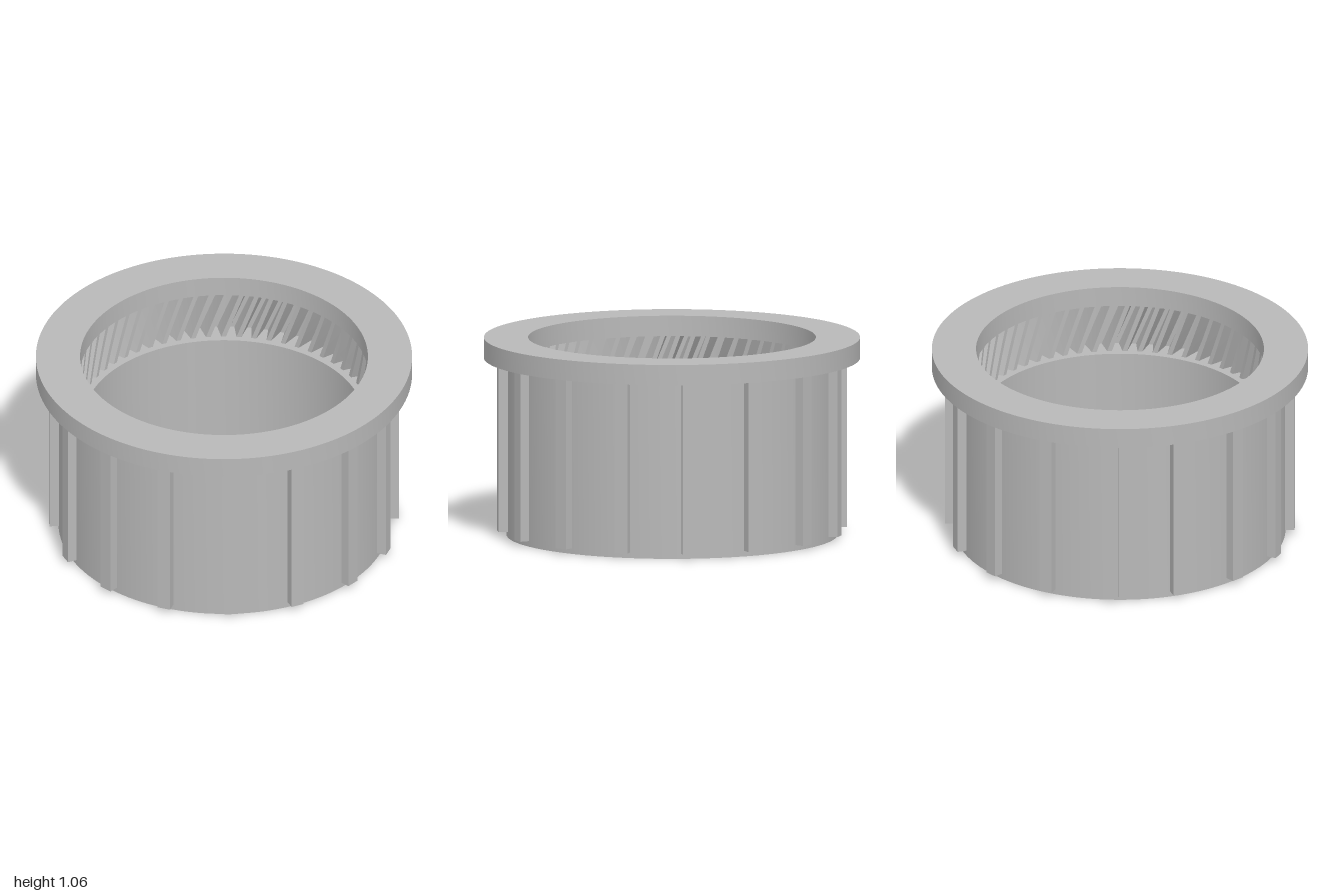
import * as THREE from 'three';
import { toCreasedNormals } from 'three/addons/utils/BufferGeometryUtils.js';

const BAND_LOW = 0.68, BAND_HIGH = 0.95;
const TEETH = 60, TIP = 0.775, ROOT = 0.873, TWIST = 0.125, ROWS = 4;
const RIBS = 16;

// Inward-facing helical teeth: one tooth outline repeated and twisted with height
function helicalTeethGeometry() {
  const outline = [[0, ROOT], [0.25, ROOT], [0.47, TIP], [0.78, TIP]];
  const pitch = (Math.PI * 2) / TEETH;
  const positions = [];
  const index = [];
  const count = TEETH * outline.length;
  for (let row = 0; row <= ROWS; row++) {
    const t = row / ROWS;
    for (let i = 0; i < count; i++) {
      const [step, radius] = outline[i % outline.length];
      const angle = (Math.floor(i / outline.length) + step) * pitch + t * TWIST;
      positions.push(
        radius * Math.sin(angle),
        BAND_LOW + t * (BAND_HIGH - BAND_LOW),
        -radius * Math.cos(angle)
      );
    }
  }
  for (let row = 0; row < ROWS; row++) {
    for (let i = 0; i < count; i++) {
      const a = row * count + i;
      const b = row * count + ((i + 1) % count);
      index.push(a, b, a + count, b, b + count, a + count);
    }
  }
  const geometry = new THREE.BufferGeometry();
  geometry.setAttribute('position', new THREE.Float32BufferAttribute(positions, 3));
  geometry.setIndex(index);
  return toCreasedNormals(geometry, 0.35);
}

export function createModel() {
  const model = new THREE.Group();
  model.name = 'ringGear';

  const metal = new THREE.MeshStandardMaterial({ color: 0xb8b8b8 });
  metal.name = 'grey';
  // The toothed wall is an open strip
  const teethMetal = metal;
  teethMetal.side = THREE.DoubleSide;

  // Sleeve, flange and stepped bore as one turned profile
  const profile = [
    [0.876, BAND_LOW], [0.74, BAND_LOW], [0.74, 0], [0.88, 0], [0.88, 0.95],
    [1, 0.95], [1, 1.06], [0.765, 1.06], [0.765, BAND_HIGH], [0.876, BAND_HIGH],
  ].map(([r, y]) => new THREE.Vector2(r, y));
  const body = new THREE.Mesh(
    toCreasedNormals(new THREE.LatheGeometry(profile, 144), 0.5), metal
  );
  body.name = 'flangedSleeve';
  model.add(body);

  // Helical teeth inside the bore, between ledge and flange
  const teeth = new THREE.Mesh(helicalTeethGeometry(), teethMetal);
  teeth.name = 'helicalTeeth';
  model.add(teeth);

  // Straight ribs around the outside
  const ribs = new THREE.Group();
  ribs.name = 'outerRibs';
  const ribGeometry = new THREE.BoxGeometry(0.07, 0.92, 0.054);
  ribGeometry.translate(0, 0.49, 0.903);
  for (let i = 0; i < RIBS; i++) {
    const rib = new THREE.Mesh(ribGeometry, metal);
    rib.name = 'rib';
    rib.rotation.y = (i / RIBS) * Math.PI * 2;
    ribs.add(rib);
  }
  model.add(ribs);

  return model;
}
